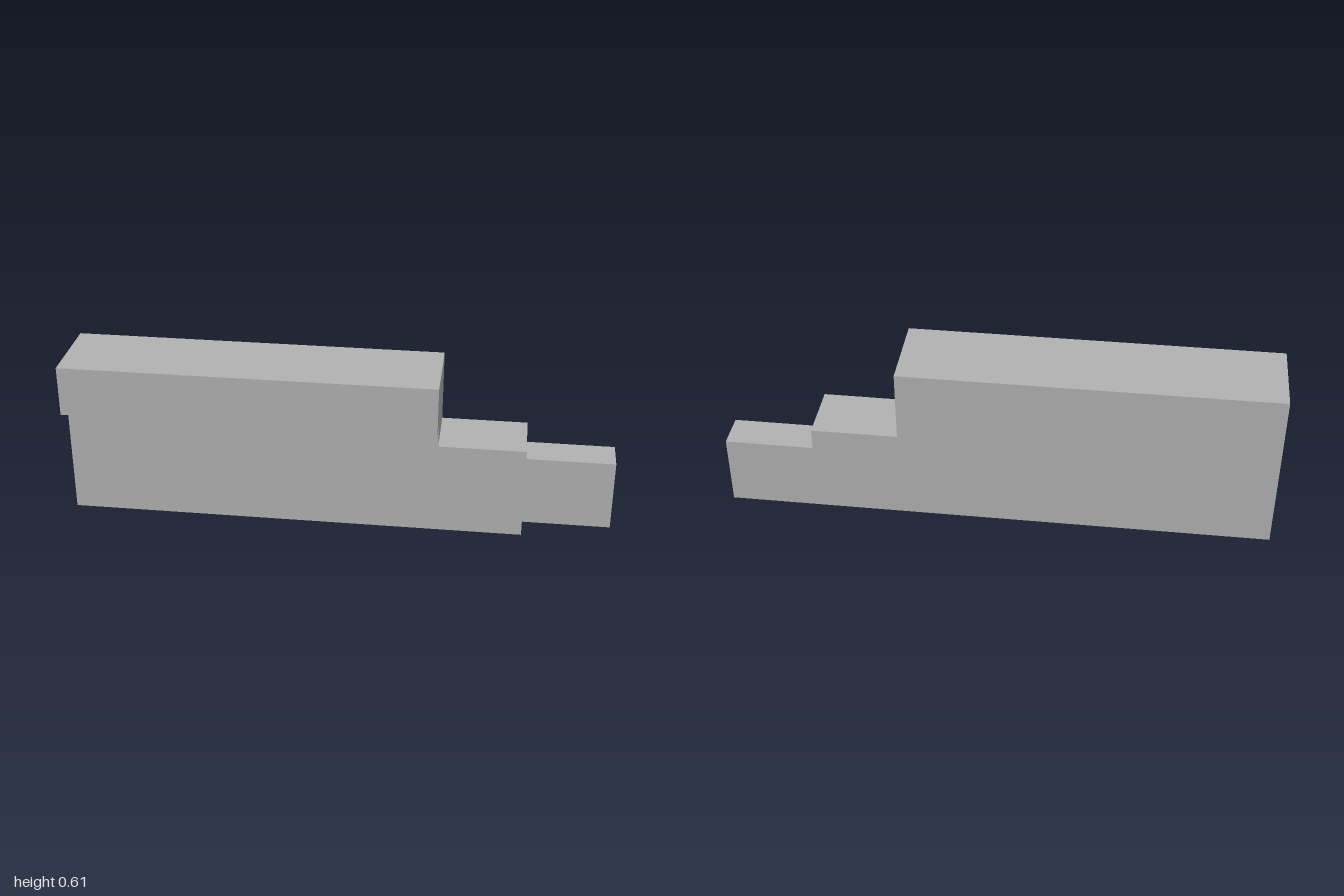
import * as THREE from 'three';

const BACK = -0.153;

export function createModel() {
  const group = new THREE.Group();
  const grey = new THREE.MeshStandardMaterial({ color: 0xb2b2b2 });
  grey.name = 'plain grey';

  // Extrudes a cross-section of [z, y] corners along x from x0 to x1
  function addSection(name, x0, x1, corners) {
    const shape = new THREE.Shape(corners.map(([z, y]) => new THREE.Vector2(-z, y)));
    const geometry = new THREE.ExtrudeGeometry(shape, { depth: x1 - x0, bevelEnabled: false });
    geometry.rotateY(Math.PI / 2).translate(x0, 0, 0);
    const mesh = new THREE.Mesh(geometry, grey);
    mesh.name = name;
    group.add(mesh);
  }

  const rectangle = (front, top) => [[front, 0], [BACK, 0], [BACK, top], [front, top]];

  // Tall body with a ledge overhanging the front
  addSection('mainBody', -1, 0.36, [
    [0.073, 0], [BACK, 0], [BACK, 0.613], [0.153, 0.613], [0.153, 0.427], [0.073, 0.427],
  ]);
  // Two lower steps towards the end, flush at the back and base
  addSection('middleStep', 0.36, 0.675, rectangle(0.073, 0.347));
  addSection('endStep', 0.675, 1, rectangle(-0.02, 0.267));

  return group;
}
